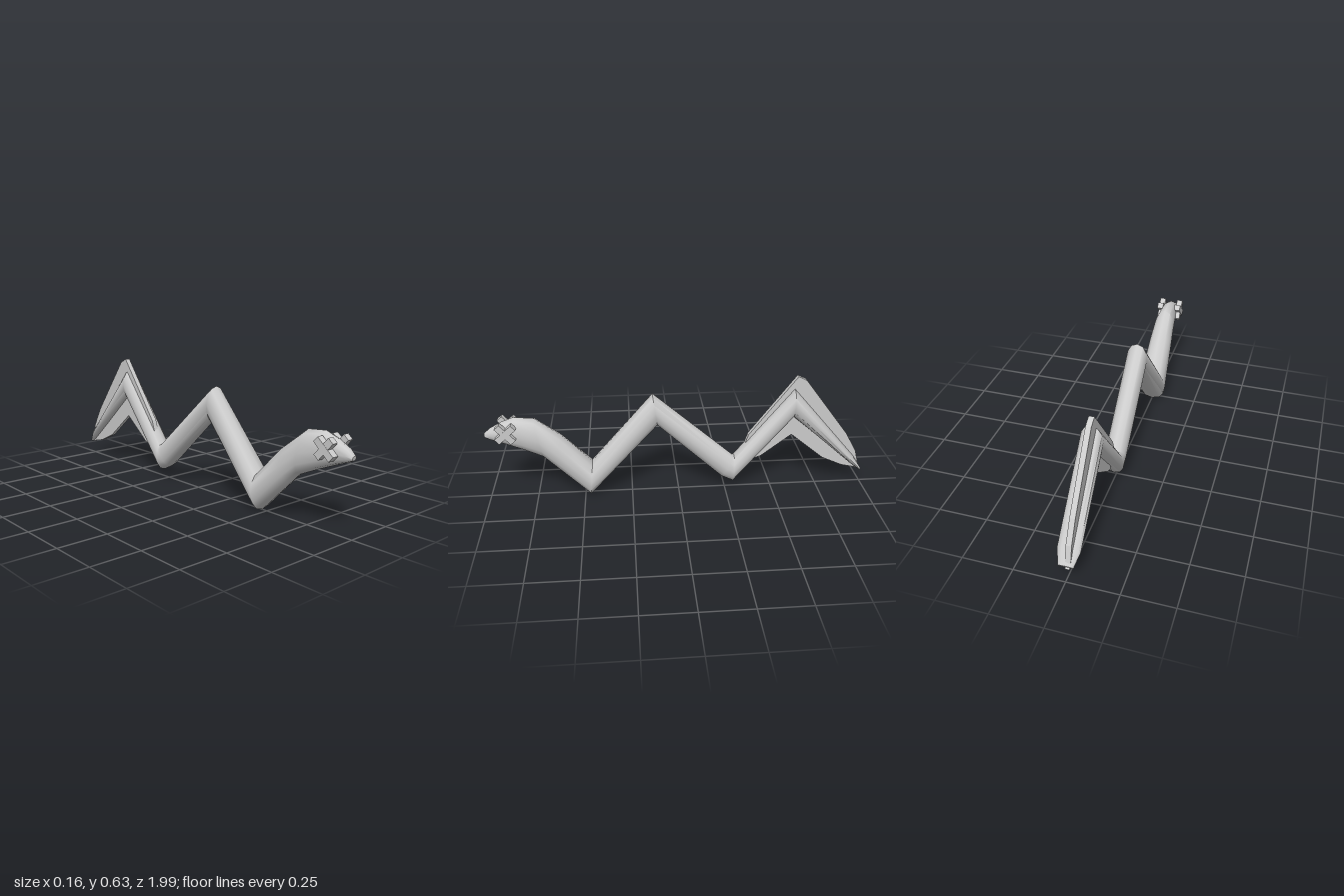
import * as THREE from 'three';
import { toCreasedNormals } from 'three/addons/utils/BufferGeometryUtils.js';

// Rings of the body from snout to tail: [top z, top y, bottom z, bottom y, half width]
const RINGS = [
  [0.995, 0.375, 0.99, 0.352, 0.014],
  [0.965, 0.402, 0.965, 0.341, 0.026],
  [0.90, 0.438, 0.89, 0.312, 0.038],
  [0.84, 0.46, 0.80, 0.275, 0.047],
  [0.74, 0.45, 0.70, 0.23, 0.058],
  [0.61, 0.35, 0.65, 0.18, 0.067],
  [0.455, 0.19, 0.47, 0.003, 0.078],
  [0.134, 0.565, 0.11, 0.39, 0.056],
  [-0.288, 0.194, -0.225, 0.075, 0.055],
  [-0.297, 0.192, -0.29, 0.043, 0.055],
  [-0.60, 0.567, -0.60, 0.41, 0.055],
  [-0.95, 0.16, -0.93, 0.125, 0.055],
  [-0.992, 0.095, -0.985, 0.08, 0.036],
];
const SIDES = 12;

// Loft a closed tube through the rings
function bodyGeometry() {
  const positions = [], index = [];
  for (const [tz, ty, bz, by, w] of RINGS) {
    for (let j = 0; j < SIDES; j++) {
      const a = (j / SIDES) * Math.PI * 2, c = Math.cos(a), s = Math.sin(a);
      const x = Math.sign(c) * Math.pow(Math.abs(c), 0.85) * w;
      positions.push(x, (ty + by) / 2 + (s * (ty - by)) / 2, (tz + bz) / 2 + (s * (tz - bz)) / 2);
    }
  }
  const last = RINGS.length - 1;
  for (let i = 0; i < last; i++) {
    for (let j = 0; j < SIDES; j++) {
      const k = (j + 1) % SIDES;
      const a = i * SIDES + j, b = i * SIDES + k;
      index.push(a, a + SIDES, b, b, a + SIDES, b + SIDES);
    }
  }
  // Caps at the snout and the tail tip
  for (let j = 1; j < SIDES - 1; j++) {
    index.push(0, j, j + 1);
    index.push(last * SIDES, last * SIDES + j + 1, last * SIDES + j);
  }
  const geometry = new THREE.BufferGeometry();
  geometry.setAttribute('position', new THREE.Float32BufferAttribute(positions, 3));
  geometry.setIndex(index);
  return toCreasedNormals(geometry, Math.PI * 0.29);
}

// Upright fin cut from an outline of [z, y] points
function finGeometry(points, thickness) {
  const shape = new THREE.Shape(points.map(([z, y]) => new THREE.Vector2(z, y)));
  const geometry = new THREE.ExtrudeGeometry(shape, { depth: thickness, bevelEnabled: false });
  geometry.rotateY(-Math.PI / 2);
  geometry.translate(thickness / 2 - 0.009, 0, 0);
  return geometry;
}

export function createModel() {
  const model = new THREE.Group();
  const grey = new THREE.MeshStandardMaterial({ color: 0xcccccc });

  function add(parent, name, geometry) {
    const mesh = new THREE.Mesh(geometry, grey);
    mesh.name = name;
    parent.add(mesh);
    return mesh;
  }

  add(model, 'body', bodyGeometry());

  // Fins follow the last bend, with their inner edges buried in the body
  add(model, 'upperFin', finGeometry([
    [-0.35, 0.25], [-0.37, 0.31], [-0.615, 0.633], [-0.66, 0.61], [-0.90, 0.295],
    [-0.96, 0.19], [-0.985, 0.10], [-0.94, 0.145], [-0.60, 0.49],
  ], 0.027));
  add(model, 'lowerFin', finGeometry([
    [-0.38, 0.21], [-0.41, 0.17], [-0.44, 0.18], [-0.60, 0.303], [-0.78, 0.155],
    [-0.89, 0.105], [-0.995, 0.08], [-0.94, 0.145], [-0.60, 0.49],
  ], 0.022));

  // Crossed bars for the eyes
  for (const side of [1, -1]) {
    const eye = new THREE.Group();
    eye.name = side > 0 ? 'leftEye' : 'rightEye';
    eye.position.set(side * 0.052, 0.393, 0.88);
    const barA = add(eye, 'eyeBar', new THREE.BoxGeometry(0.034, 0.034, 0.115));
    barA.rotation.x = Math.PI * 0.23;
    const barB = add(eye, 'eyeCrossBar', new THREE.BoxGeometry(0.032, 0.034, 0.115));
    barB.rotation.x = -Math.PI * 0.27;
    model.add(eye);
  }
  return model;
}
